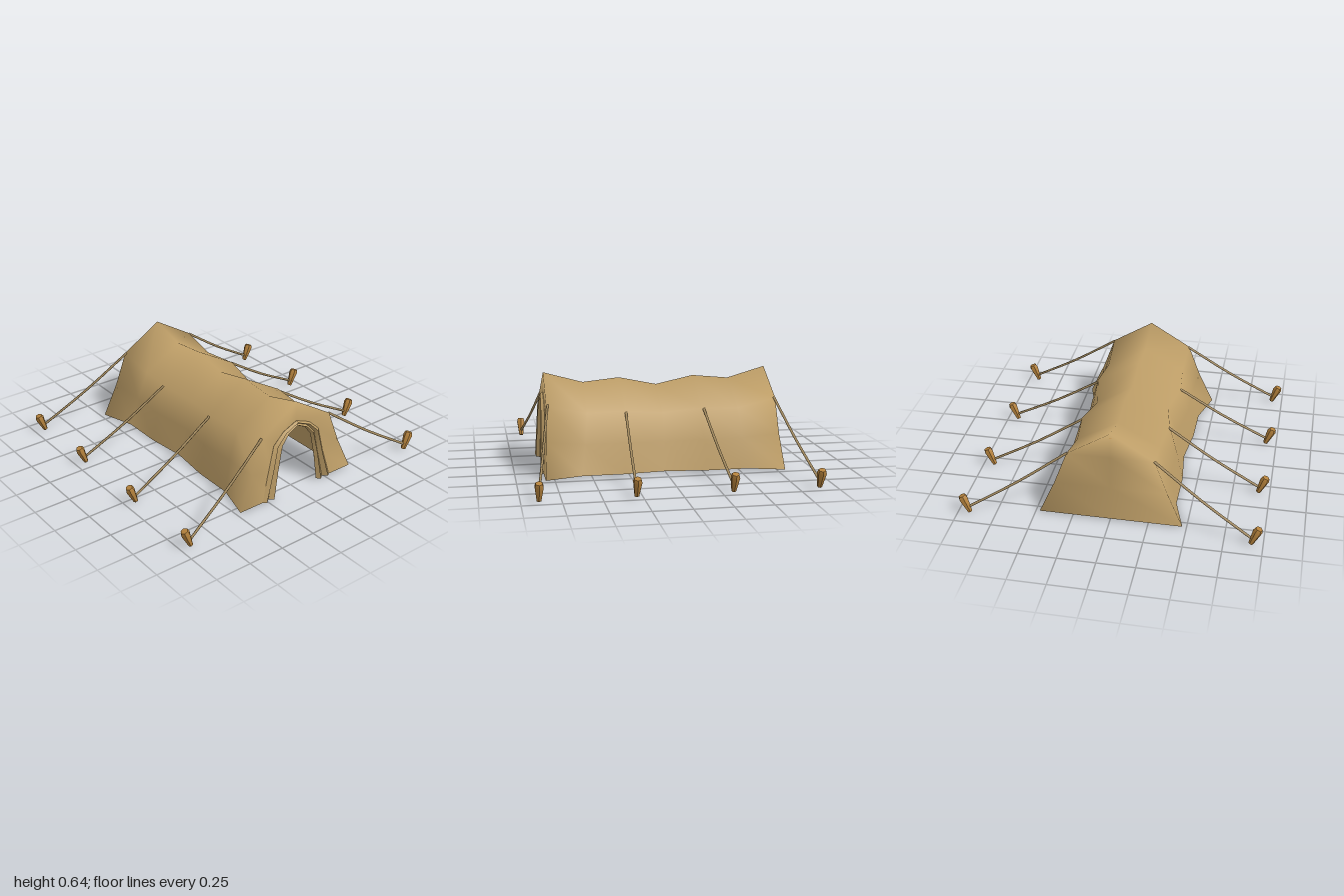
import * as THREE from 'three';
import { toCreasedNormals } from 'three/addons/utils/BufferGeometryUtils.js';

// Collects points and joins rows of them with quads
function meshBuilder() {
  const pos = [], idx = [];
  return {
    add(x, y, z) { pos.push(x, y, z); return pos.length / 3 - 1; },
    strip(a, b) {
      for (let k = 0; k < a.length - 1; k++) {
        idx.push(a[k], b[k], a[k + 1], b[k], b[k + 1], a[k + 1]);
      }
    },
    build() {
      const g = new THREE.BufferGeometry();
      g.setAttribute('position', new THREE.Float32BufferAttribute(pos, 3));
      g.setIndex(idx);
      g.computeVertexNormals();
      return g;
    },
  };
}

// Half cross-sections from the ridge down to the hem, as [x, y, z]
const END = [[0.78, 0.64, 0], [0.785, 0.465, 0.285], [0.792, 0.235, 0.37], [0.81, 0.005, 0.473]];
const SAG = [[0.51, 0.565, 0], [0.515, 0.405, 0.275], [0.535, 0.21, 0.345], [0.56, 0.005, 0.4]];
const POLE = [[0.26, 0.59, 0], [0.26, 0.415, 0.3], [0.27, 0.21, 0.355], [0.28, 0.005, 0.4]];
const MIDDLE = [[0, 0.535, 0], [0, 0.385, 0.25], [0, 0.2, 0.315], [0, 0.005, 0.37]];
const DOOR = [[0.782, 0.49, 0], [0.787, 0.4, 0.16], [0.793, 0.2, 0.205], [0.81, 0.005, 0.25]];

// Roof, sides, closed end and door end in one smooth cloth
function clothGeometry() {
  const m = meshBuilder();
  const row = (half, sx) => {
    const left = half.slice(1).reverse().map(([x, y, z]) => m.add(x * sx, y, -z));
    const right = half.map(([x, y, z]) => m.add(x * sx, y, z));
    return [...left, ...right];
  };
  const rows = [[END, -0.99], [SAG, -1], [POLE, -1], [MIDDLE, 1], [POLE, 1], [SAG, 1], [END, 1]]
    .map(([h, s]) => row(h, s));
  for (let i = 0; i < rows.length - 1; i++) m.strip(rows[i + 1], rows[i]);

  // closed end, joined through a centre line
  const centre = END.slice(1).map(([x, y]) => m.add(-x * 0.99, y, 0));
  m.strip(rows[0], [...centre.slice().reverse(), rows[0][3], ...centre]);

  // door end, a band around the opening
  m.strip(row(DOOR, 1), rows[6]);
  return m.build();
}

// Gathered door flap: a pleated section swept from the ground up to the arch
function flapGeometry(side) {
  const m = meshBuilder();
  // each ring: inner z, inner y, outer z, outer y, depth
  const rings = [
    [0.18, 0.005, 0.3, 0.005, 1], [0.155, 0.2, 0.235, 0.2, 0.9], [0.12, 0.37, 0.19, 0.385, 0.8],
    [0.07, 0.435, 0.11, 0.46, 0.7], [0, 0.47, 0, 0.505, 0.6],
  ];
  const pleats = [
    [0, 0], [0.2, 0.026], [0.45, 0], [0.72, 0.028], [1, 0],
    [0.75, -0.03], [0.5, -0.008], [0.25, -0.03],
  ];
  const rows = rings.map(([zi, yi, zo, yo, d]) => {
    const ids = pleats.map(([t, dx]) => m.add(
      0.8 - 0.03 * yi + dx * d, yi + (yo - yi) * t, side * (zi + (zo - zi) * t)));
    return [...ids, ids[0]];
  });
  for (let i = 0; i < rows.length - 1; i++) {
    if (side > 0) m.strip(rows[i], rows[i + 1]);
    else m.strip(rows[i + 1], rows[i]);
  }
  return toCreasedNormals(m.build(), 0.5);
}

// Straight wooden pole between two points
function pole(from, to, radius, material) {
  const a = new THREE.Vector3(...from), b = new THREE.Vector3(...to);
  const dir = b.clone().sub(a);
  const geo = toCreasedNormals(new THREE.CylinderGeometry(radius, radius, dir.length(), 6), 0.5);
  const mesh = new THREE.Mesh(geo, material);
  mesh.position.copy(a).add(b).multiplyScalar(0.5);
  mesh.quaternion.setFromUnitVectors(new THREE.Vector3(0, 1, 0), dir.normalize());
  return mesh;
}

export function createModel() {
  const canvas = new THREE.MeshStandardMaterial({ color: 0xbf9f68, side: THREE.DoubleSide });
  canvas.name = 'canvas';
  const cord = new THREE.MeshStandardMaterial({ color: 0xa58c60 });
  cord.name = 'cord';
  const wood = new THREE.MeshStandardMaterial({ color: 0xb5823c });
  wood.name = 'wood';

  const tent = new THREE.Group();
  tent.name = 'tent';
  const put = (mesh, name) => { mesh.name = name; tent.add(mesh); return mesh; };

  put(new THREE.Mesh(clothGeometry(), canvas), 'tentCloth');
  for (const s of [1, -1]) put(new THREE.Mesh(flapGeometry(s), canvas), 'doorFlap');

  // upright poles and braces leaning out to the end peaks
  for (const s of [1, -1]) {
    put(pole([s * 0.26, 0.005, 0], [s * 0.26, 0.58, 0], 0.015, wood), 'uprightPole');
    put(pole([s * 0.29, 0.01, 0], [s * 0.765, 0.615, 0], 0.015, wood), 'leaningPole');
  }

  // guy ropes and ground pegs on both long sides
  const pegGeo = toCreasedNormals(new THREE.LatheGeometry([
    [0, 0], [0.016, 0], [0.031, 0.105], [0.024, 0.128], [0, 0.13],
  ].map(([r, y]) => new THREE.Vector2(r, y)), 6), 0.5);
  const ropes = [ // top x, top y, top z, peg x
    [-0.77, 0.465, 0.28, -0.89], [-0.275, 0.41, 0.295, -0.328],
    [0.255, 0.41, 0.285, 0.287], [0.775, 0.465, 0.28, 0.888],
  ];
  for (const s of [1, -1]) {
    for (const [x, y, z, px] of ropes) {
      const curve = new THREE.CatmullRomCurve3([
        new THREE.Vector3(x, y, z * s),
        new THREE.Vector3((x + px) / 2, (y + 0.04) / 2 - 0.015, s * (z + 0.93) / 2),
        new THREE.Vector3(px, 0.04, 0.93 * s),
      ]);
      put(new THREE.Mesh(new THREE.TubeGeometry(curve, 6, 0.009, 5), cord), 'guyRope');
      const peg = put(new THREE.Mesh(pegGeo, wood), 'groundPeg');
      peg.position.set(px, 0.005, 0.922 * s);
      peg.rotation.x = 0.37 * s;
    }
  }
  return tent;
}
